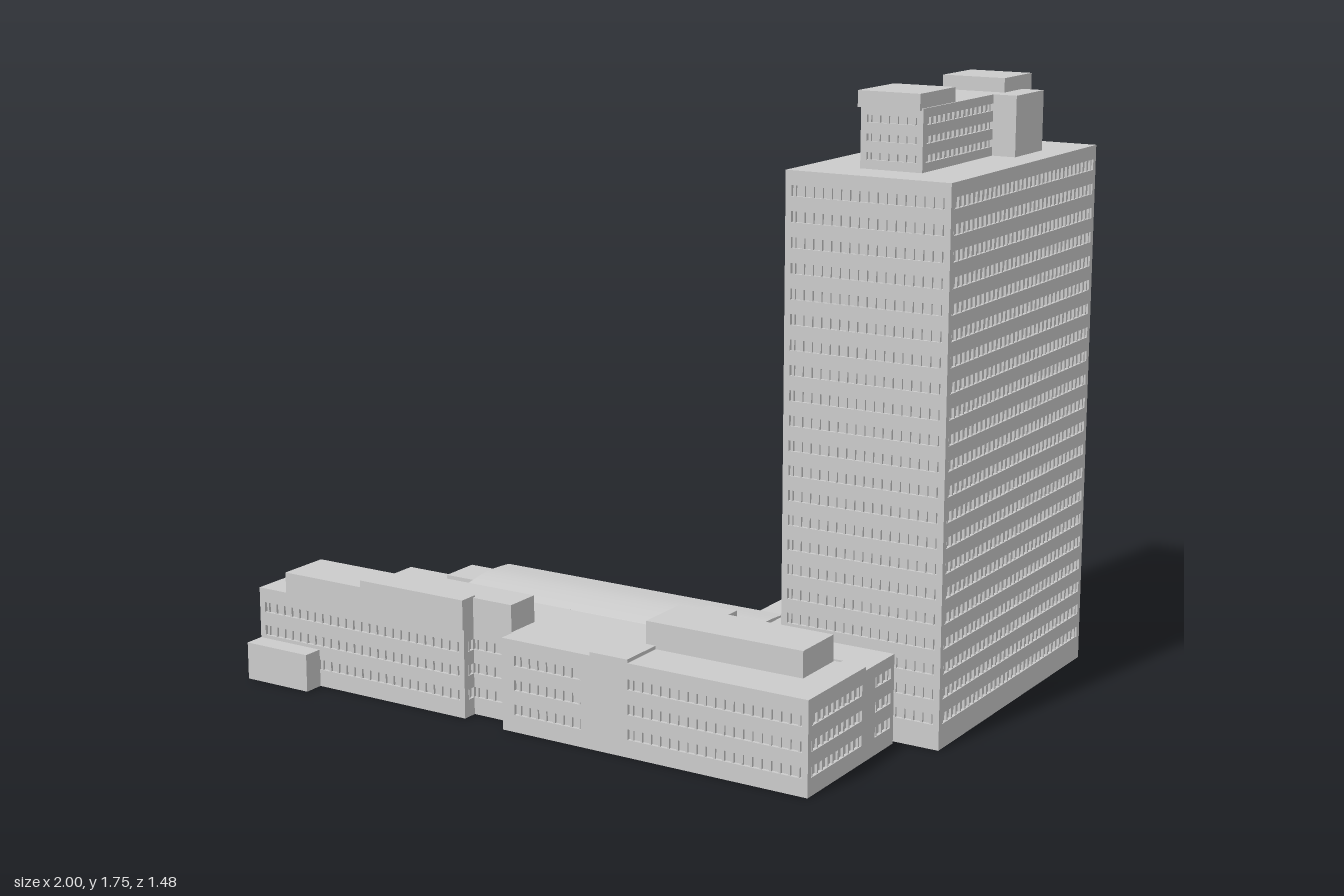
import * as THREE from 'three';
import { mergeGeometries, toCreasedNormals } from 'three/addons/utils/BufferGeometryUtils.js';

const grey = new THREE.MeshStandardMaterial({ color: 0xcccccc });

// Box from its limits on each axis
function boxGeo(x0, x1, y0, y1, z0, z1) {
  return new THREE.BoxGeometry(x1 - x0, y1 - y0, z1 - z0)
    .translate((x0 + x1) / 2, (y0 + y1) / 2, (z0 + z1) / 2);
}

function add(parent, name, geometry) {
  const mesh = new THREE.Mesh(geometry, grey);
  mesh.name = name;
  parent.add(mesh);
  return mesh;
}

// Flat outline of [x, z] points raised from y0 to y1
function prism(points, y0, y1) {
  const shape = new THREE.Shape(points.map(([x, z]) => new THREE.Vector2(x, -z)));
  return new THREE.ExtrudeGeometry(shape, { depth: y1 - y0, bevelEnabled: false })
    .rotateX(-Math.PI / 2).translate(0, y0, 0);
}

// Storeyed block: inset glass core, full-size spandrels between the
// window bands, solid corner piers and evenly spaced mullions
function storeys(parent, name, [x0, x1, y0, y1, z0, z1], bands, { inset = 0.01, pier = 0.018, step = 0.028 } = {}) {
  const group = new THREE.Group();
  group.name = name;
  parent.add(group);

  add(group, 'glassCore', boxGeo(x0 + inset, x1 - inset, y0 + 0.002, y1 - 0.002, z0 + inset, z1 - inset));

  const slabs = [];
  let y = y0;
  for (const [bottom, top] of bands) {
    slabs.push(boxGeo(x0, x1, y, bottom, z0, z1));
    y = top;
  }
  slabs.push(boxGeo(x0, x1, y, y1, z0, z1));
  add(group, 'spandrels', mergeGeometries(slabs));

  const low = bands[0][0], high = bands[bands.length - 1][1];
  const posts = [];
  for (const px of [x0, x1 - pier])
    for (const pz of [z0, z1 - pier]) posts.push(boxGeo(px, px + pier, low, high, pz, pz + pier));
  add(group, 'cornerPiers', mergeGeometries(posts));

  const bars = [], half = 0.003, lip = 0.003;
  const nx = Math.max(2, Math.round((x1 - x0) / step)), nz = Math.max(2, Math.round((z1 - z0) / step));
  for (let i = 1; i < nx; i++) {
    const x = x0 + (x1 - x0) * i / nx;
    bars.push(boxGeo(x - half, x + half, low, high, z0 + lip, z1 - lip));
  }
  for (let i = 1; i < nz; i++) {
    const z = z0 + (z1 - z0) * i / nz;
    bars.push(boxGeo(x0 + lip, x1 - lip, low, high, z - half, z + half));
  }
  add(group, 'mullions', mergeGeometries(bars));
  return group;
}

// Regular window bands, one per floor
function floors(count, start, pitch, height) {
  return Array.from({ length: count }, (_, i) => [start + i * pitch, start + i * pitch + height]);
}

function buildTower(model) {
  const tower = new THREE.Group();
  tower.name = 'tower';
  model.add(tower);
  storeys(tower, 'towerFloors', [0.51, 1, 0, 1.54, -0.74, 0.2], floors(21, 0.07, 0.07, 0.03));

  // Rooftop plant rooms
  storeys(tower, 'penthouse', [0.665, 0.85, 1.54, 1.71, -0.54, 0.07], floors(3, 1.565, 0.05, 0.02));
  storeys(tower, 'rearPlantRoom', [0.67, 0.85, 1.54, 1.69, -0.595, -0.43], floors(3, 1.565, 0.045, 0.02));
  add(tower, 'rearCap', boxGeo(0.665, 0.855, 1.69, 1.75, -0.6, -0.42));
  add(tower, 'frontCap', boxGeo(0.66, 0.845, 1.705, 1.75, -0.13, 0.08));
  add(tower, 'liftHousing', boxGeo(0.84, 0.92, 1.54, 1.71, -0.54, -0.36));
}

function buildFrontRange(model) {
  const range = new THREE.Group();
  range.name = 'frontRange';
  model.add(range);
  const bands = floors(3, 0.05, 0.07, 0.03);

  // West half, stepped along the street side
  storeys(range, 'westWing', [-0.97, -0.23, 0, 0.262, 0.37, 0.675], bands);
  storeys(range, 'recessedBay', [-0.25, -0.08, 0, 0.262, 0.37, 0.63], bands);
  // East half with a blank bay between its window groups
  storeys(range, 'eastWing', [-0.09, 0.87, 0, 0.265, 0.38, 0.69], bands);
  add(range, 'blankBay', boxGeo(0.17, 0.32, 0.03, 0.24, 0.6, 0.69));
  add(range, 'eastBlankEdge', boxGeo(-0.09, -0.05, 0.03, 0.24, 0.6, 0.69));

  // Roof volumes
  const roof = [
    ['westRoofRoom', [-0.865, -0.49, 0.26, 0.325, 0.52, 0.68]],
    ['middleRoofRoom', [-0.5, -0.1, 0.26, 0.34, 0.52, 0.63]],
    ['middleRoofFront', [-0.59, -0.23, 0.26, 0.345, 0.62, 0.68]],
    ['eastRoofRoom', [0.29, 0.775, 0.26, 0.34, 0.385, 0.55]],
    ['raisedRoof', [0.2, 0.32, 0.26, 0.275, 0.39, 0.69]],
    ['stairHead', [0.36, 0.45, 0, 0.34, 0.34, 0.4]],
    ['stairLobby', [0.29, 0.37, 0, 0.275, 0.365, 0.4]],
  ];
  for (const [name, limits] of roof) add(range, name, boxGeo(...limits));

  // Hollow entrance canopy at the west corner
  add(range, 'entranceCanopy', mergeGeometries([
    boxGeo(-0.97, -0.75, 0.1, 0.11, 0.67, 0.735),
    boxGeo(-0.97, -0.75, 0, 0.11, 0.725, 0.735),
    boxGeo(-0.97, -0.96, 0, 0.11, 0.67, 0.735),
    boxGeo(-0.76, -0.75, 0, 0.11, 0.67, 0.735),
  ]));

  // Links that wrap the light well and meet the tower
  storeys(range, 'towerLink', [0.45, 0.87, 0, 0.255, 0.215, 0.34], bands);
  add(range, 'wellEnd', boxGeo(0.78, 0.87, 0, 0.255, 0.33, 0.39));
  storeys(range, 'sideLink', [0.45, 0.515, 0, 0.255, 0.02, 0.23], bands);
}

function buildHall(model) {
  const hall = new THREE.Group();
  hall.name = 'hall';
  model.add(hall);

  // Curved roof that falls toward the front range
  const curve = new THREE.SplineCurve([[-0.04, 0.215], [0.06, 0.22], [0.16, 0.208], [0.26, 0.184], [0.37, 0.145]]
    .map(([z, y]) => new THREE.Vector2(-z, y)));
  const shape = new THREE.Shape([new THREE.Vector2(0.04, 0), ...curve.getPoints(20), new THREE.Vector2(-0.37, 0)]);
  const geo = new THREE.ExtrudeGeometry(shape, { depth: 0.97, bevelEnabled: false })
    .rotateY(Math.PI / 2).translate(-0.59, 0, 0);
  add(hall, 'vaultedHall', toCreasedNormals(geo, 0.5));

  // Low west end
  storeys(hall, 'westEnd', [-0.97, -0.67, 0, 0.145, -0.04, 0.38], [[0.075, 0.105]]);
  add(hall, 'westInfill', boxGeo(-0.68, -0.58, 0, 0.145, -0.04, 0.37));
  add(hall, 'hallPlantRoom', boxGeo(-0.73, -0.585, 0.1, 0.19, -0.04, 0.09));
  add(hall, 'hallRearWall', boxGeo(-0.72, -0.58, 0, 0.145, -0.04, 0));
  add(hall, 'roundTurret', new THREE.CylinderGeometry(0.028, 0.028, 0.12, 24).translate(-0.972, 0.06, 0.02));
}

function buildAnnex(model) {
  const annex = new THREE.Group();
  annex.name = 'rearAnnex';
  model.add(annex);
  storeys(annex, 'annexFloors', [0.28, 0.52, 0, 0.2, -0.555, -0.12], floors(2, 0.06, 0.07, 0.03));
  add(annex, 'chamferedNeck', prism([[0.28, -0.13], [0.28, -0.03], [0.36, -0.03], [0.36, -0.09], [0.4, -0.12], [0.4, -0.13]], 0, 0.2));
  add(annex, 'annexPorch', boxGeo(0.245, 0.29, 0, 0.08, -0.3, -0.24));
}

export function createModel() {
  const model = new THREE.Group();
  model.name = 'officeComplex';
  buildTower(model);
  buildFrontRange(model);
  buildHall(model);
  buildAnnex(model);
  return model;
}
